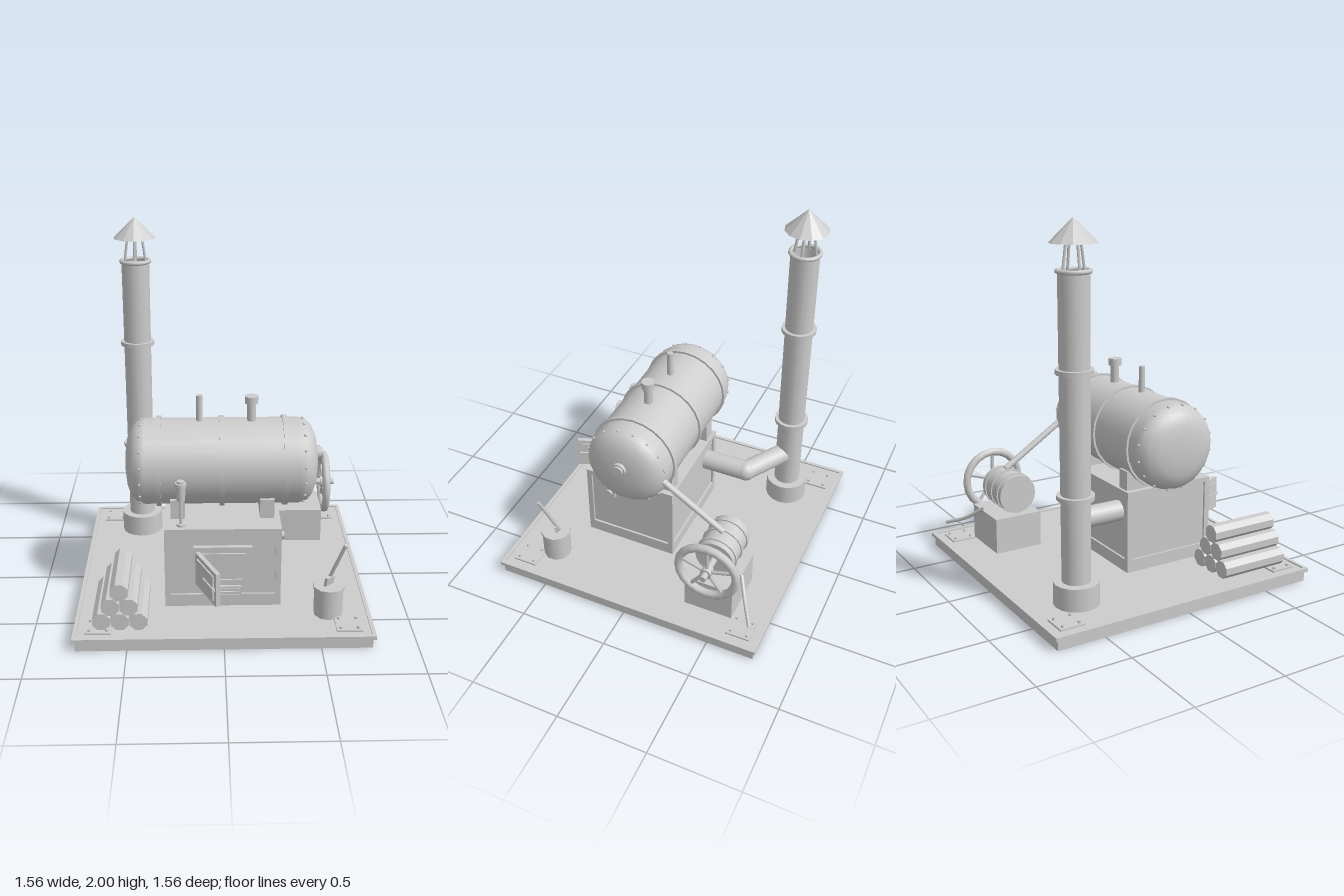
import * as THREE from 'three';

const V = (x, y, z) => new THREE.Vector3(x, y, z);

export function createModel() {
  const root = new THREE.Group();
  const grey = new THREE.MeshStandardMaterial({ color: 0xcccccc, side: THREE.DoubleSide });
  grey.name = 'light grey';

  const add = (name, geo, x = 0, y = 0, z = 0, parent = root) => {
    const m = new THREE.Mesh(geo, grey);
    m.name = name;
    m.position.set(x, y, z);
    parent.add(m);
    return m;
  };
  // box given by its limits
  const box = (name, x0, x1, y0, y1, z0, z1, parent = root) =>
    add(name, new THREE.BoxGeometry(x1 - x0, y1 - y0, z1 - z0),
      (x0 + x1) / 2, (y0 + y1) / 2, (z0 + z1) / 2, parent);
  // cylinder between two points
  const rod = (name, a, b, r, sides = 12, r2 = r, open = false) => {
    const d = b.clone().sub(a);
    const m = add(name, new THREE.CylinderGeometry(r2, r, d.length(), sides, 1, open));
    m.position.copy(a).addScaledVector(d, 0.5);
    m.quaternion.setFromUnitVectors(V(0, 1, 0), d.normalize());
    return m;
  };
  const flat = (geo) => {
    const g = geo.toNonIndexed();
    g.computeVertexNormals();
    return g;
  };

  // Base with raised rim and bolted corner plates
  box('base', -0.765, 0.765, 0, 0.068, -0.765, 0.765);
  for (const s of [-1, 1]) {
    box('baseRim', -0.78, 0.78, 0.055, 0.075, s * 0.77 - 0.01, s * 0.77 + 0.01);
    box('baseRim', s * 0.77 - 0.01, s * 0.77 + 0.01, 0.055, 0.075, -0.76, 0.76);
    for (const t of [-1, 1]) {
      const x = s * 0.65, z = t * 0.655;
      box('cornerPlate', x - 0.068, x + 0.068, 0.068, 0.077, z - 0.068, z + 0.068);
      for (const i of [-1, 1]) for (const j of [-1, 1])
        add('plateBolt', new THREE.CylinderGeometry(0.008, 0.008, 0.012, 8), x + i * 0.046, 0.083, z + j * 0.046);
    }
  }

  // Firebox: core with an edge frame around recessed panels
  const fx = 0.31, zb = -0.09, zf = 0.447;
  box('fireboxCore', -fx + 0.012, fx - 0.012, 0.068, 0.5, zb + 0.012, zf - 0.012);
  box('fireboxTop', -fx, fx, 0.5, 0.525, zb, zf);
  box('fireboxPlinth', -fx, fx, 0.068, 0.138, zb, zf);
  for (const x of [-fx, fx - 0.03]) for (const z of [zb, zf - 0.03])
    box('fireboxPost', x, x + 0.03, 0.138, 0.5, z, z + 0.03);

  // Door surround, firebox mouth and grate
  box('doorSurround', -0.155, 0.155, 0.21, 0.425, 0.43, 0.461);
  box('mouthTop', -0.12, 0.12, 0.375, 0.392, 0.455, 0.471);
  box('mouthBottom', -0.12, 0.12, 0.222, 0.238, 0.455, 0.471);
  for (const s of [-1, 1])
    box('mouthSide', s * 0.112 - 0.009, s * 0.112 + 0.009, 0.238, 0.375, 0.455, 0.471);
  box('grate', -0.11, 0.1, 0.12, 0.185, 0.43, 0.452);
  for (const y of [0.137, 0.154, 0.171])
    box('grateBar', -0.1, 0.09, y - 0.004, y + 0.004, 0.45, 0.459);

  // Open door, hinged at the model's right
  const door = new THREE.Group();
  door.name = 'door';
  door.position.set(-0.135, 0, 0.46);
  door.rotation.y = -Math.PI / 2 + 0.41;
  root.add(door);
  box('doorPanel', 0, 0.262, 0.212, 0.4, -0.012, 0.012, door);
  box('doorPlate', 0.03, 0.235, 0.235, 0.377, -0.02, 0.02, door);
  box('doorLatch', 0.12, 0.25, 0.297, 0.315, -0.028, 0.028, door);
  for (const y of [0.25, 0.36])
    add('doorHinge', new THREE.CylinderGeometry(0.013, 0.013, 0.04, 8), 0, y, 0, door);

  // Gauge on the firebox side
  box('gaugePlate', 0.295, 0.32, 0.383, 0.447, 0.268, 0.332);
  rod('gauge', V(0.31, 0.415, 0.3), V(0.335, 0.415, 0.3), 0.02);

  // Saddles
  for (const s of [-1, 1])
    box('saddle', s * 0.24 - 0.038, s * 0.24 + 0.038, 0.525, 0.632, -0.075, 0.318);

  // Boiler, lathed about the x axis
  const by = 0.78, bz = 0.118;
  const half = [[0, 0.52], [0.07, 0.519], [0.14, 0.508], [0.19, 0.487], [0.222, 0.455], [0.235, 0.415]];
  const profile = [...half.map(([r, x]) => new THREE.Vector2(r, -x)),
    ...half.slice().reverse().map(([r, x]) => new THREE.Vector2(r, x))];
  add('boiler', new THREE.LatheGeometry(profile, 24), 0, by, bz).rotation.z = -Math.PI / 2;
  for (const x of [-0.34, 0, 0.34])
    rod('boilerBand', V(x - 0.013, by, bz), V(x + 0.013, by, bz), 0.247, 24);
  for (const s of [-1, 1]) for (let i = 0; i < 16; i++) {
    const a = (i + 0.5) * Math.PI / 8;
    add('boilerRivet', new THREE.SphereGeometry(0.008, 6, 4),
      s * 0.44, by + 0.229 * Math.cos(a), bz + 0.229 * Math.sin(a));
  }
  rod('endCap', V(0.51, 0.82, bz), V(0.537, 0.82, bz), 0.04, 12);
  rod('endCapKnob', V(0.53, 0.82, bz), V(0.549, 0.82, bz), 0.03, 12);
  rod('steamPipe', V(-0.12, 0.98, bz), V(-0.12, 1.156, bz), 0.017);
  rod('valveStem', V(0.16, 0.98, bz), V(0.16, 1.12, bz), 0.024);
  rod('valveCap', V(0.16, 1.11, bz), V(0.16, 1.15, bz), 0.036);

  // Whistle standing on the firebox
  const wx = -0.22, wz = 0.397;
  rod('whistleBase', V(wx, 0.52, wz), V(wx, 0.536, wz), 0.024);
  rod('whistleStem', V(wx, 0.525, wz), V(wx, 0.68, wz), 0.008, 8);
  rod('whistleBody', V(wx, 0.67, wz), V(wx, 0.765, wz), 0.022, 12, 0.028);
  rod('whistleRim', V(wx, 0.755, wz), V(wx, 0.77, wz), 0.031);
  rod('whistleCap', V(wx, 0.77, wz), V(wx, 0.782, wz), 0.02);

  // Flue from the firebox to the chimney
  const cx = -0.477, cz = -0.5, fy = 0.392;
  rod('flue', V(-0.198, fy, -0.05), V(-0.198, fy, -0.33), 0.058, 14);
  add('flueElbow', new THREE.SphereGeometry(0.06, 14, 10), -0.198, fy, -0.33);
  rod('flue', V(-0.198, fy, -0.33), V(cx, fy, cz), 0.058, 14);

  // Chimney, open at the top under a conical cowl
  rod('chimneyFoot', V(cx, 0.068, cz), V(cx, 0.19, cz), 0.12, 16);
  rod('chimney', V(cx, 0.07, cz), V(cx, 1.755, cz), 0.075, 16, 0.079, true);
  for (const y of [0.635, 1.27])
    rod('chimneyBand', V(cx, y - 0.012, cz), V(cx, y + 0.012, cz), 0.097, 16);
  add('chimneyLip', new THREE.TorusGeometry(0.08, 0.012, 8, 16), cx, 1.75, cz).rotation.x = Math.PI / 2;
  for (let i = 0; i < 4; i++) {
    const c = Math.cos(i * Math.PI / 2), s = Math.sin(i * Math.PI / 2);
    rod('cowlStrut', V(cx + 0.06 * c, 1.74, cz + 0.06 * s), V(cx + 0.035 * c, 1.93, cz + 0.035 * s), 0.008, 6);
  }
  add('cowl', flat(new THREE.ConeGeometry(0.12, 0.118, 12)), cx, 1.941, cz);

  // Engine: plinth, drum, axle and spoked flywheel
  const ey = 0.397, ez = -0.44, wheelX = 0.635;
  box('enginePlinth', 0.3, 0.61, 0.068, 0.27, -0.578, -0.3);
  rod('engineDrum', V(0.3, ey, ez), V(0.535, ey, ez), 0.11, 18);
  for (const x of [0.34, 0.418, 0.496])
    rod('drumBand', V(x - 0.008, ey, ez), V(x + 0.008, ey, ez), 0.117, 18);
  rod('axle', V(0.53, ey, ez), V(0.695, ey, ez), 0.019, 10);
  add('flywheelRim', new THREE.TorusGeometry(0.165, 0.023, 8, 20), wheelX, ey, ez).rotation.y = Math.PI / 2;
  rod('flywheelHub', V(wheelX - 0.022, ey, ez), V(wheelX + 0.022, ey, ez), 0.032, 12);
  for (let i = 0; i < 5; i++) {
    const a = i * Math.PI * 2 / 5;
    rod('flywheelSpoke', V(wheelX, ey, ez),
      V(wheelX, ey + 0.16 * Math.cos(a), ez + 0.16 * Math.sin(a)), 0.011, 6);
  }
  rod('enginePipe', V(0.435, 0.8, -0.01), V(0.435, 0.515, -0.447), 0.018, 10);

  // Bent lever behind the engine
  const lever = new THREE.CatmullRomCurve3([V(0.48, 0.28, -0.58), V(0.585, 0.205, -0.645), V(0.7, 0.155, -0.715)]);
  add('lever', new THREE.TubeGeometry(lever, 8, 0.011, 6));

  // Bucket holding a poker and a scoop
  const kx = 0.557, kz = 0.53;
  rod('bucket', V(kx, 0.068, kz), V(kx, 0.225, kz), 0.078, 10);
  rod('bucketRim', V(kx, 0.22, kz), V(kx, 0.237, kz), 0.085, 10);
  rod('poker', V(0.545, 0.22, 0.503), V(0.63, 0.492, 0.578), 0.01, 6);
  const scoop = box('scoop', kx - 0.03, kx + 0.03, 0.21, 0.285, kz - 0.008, kz + 0.008);
  scoop.rotation.set(0.2, 0.7, -0.2);

  // Stacked logs
  for (let row = 0; row < 3; row++) for (let i = 0; i < 3 - row; i++) {
    const log = add('log', flat(new THREE.CylinderGeometry(0.05, 0.05, 0.395, 8)),
      -0.633 + row * 0.048 + i * 0.096, 0.122 + row * 0.085, 0.493);
    log.rotation.set(Math.PI / 2, Math.PI / 8, 0);
  }

  return root;
}
